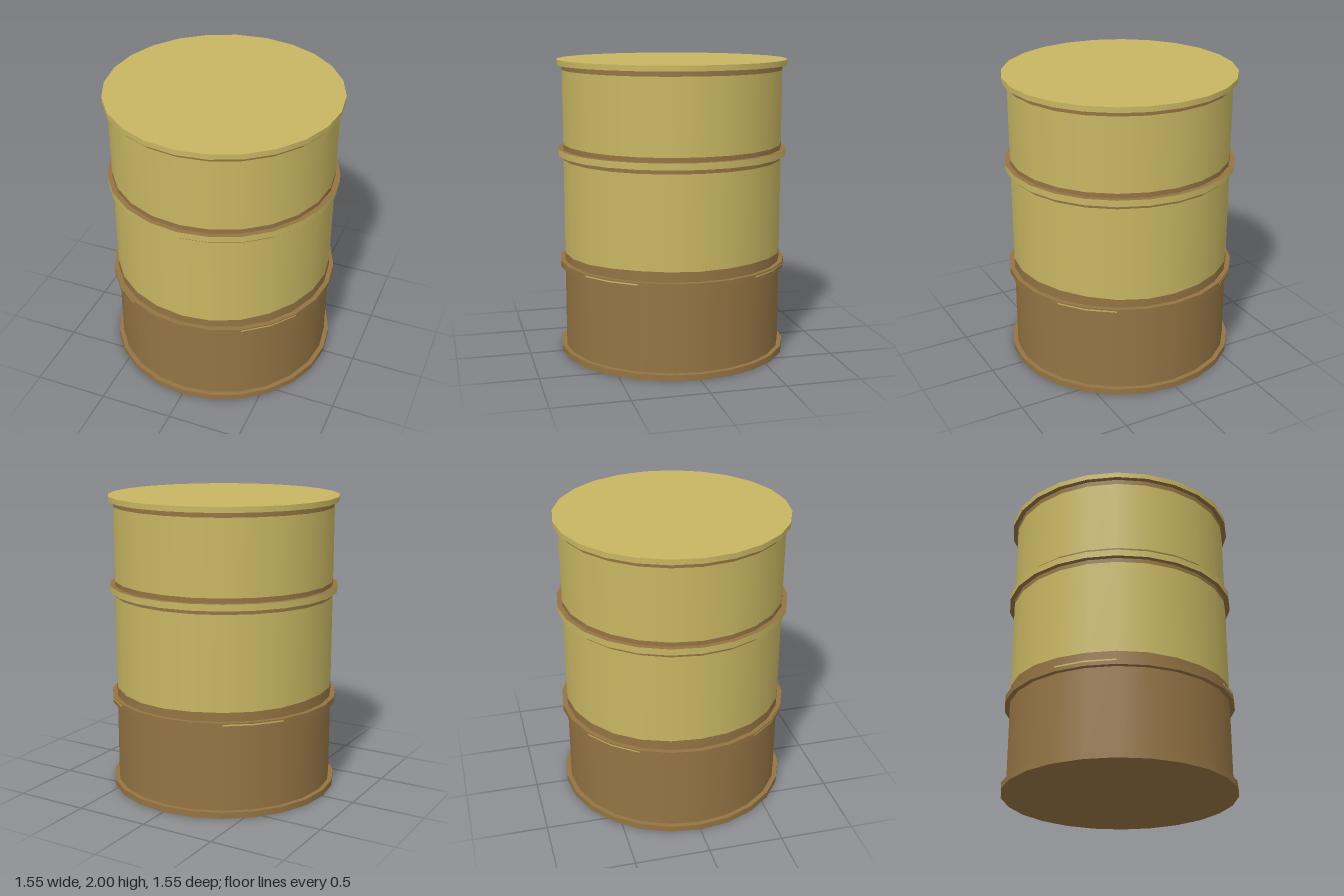
import * as THREE from 'three';

const SIDES = 24, BODY_R = 0.745, RIM_R = 0.777;

export function createModel() {
  const group = new THREE.Group();
  const yellow = new THREE.MeshStandardMaterial({ color: 0xc8b662 });
  yellow.name = 'mustard paint';
  const brown = new THREE.MeshStandardMaterial({ color: 0x947444 });
  brown.name = 'rust brown';

  function add(name, geometry, material) {
    const mesh = new THREE.Mesh(geometry, material);
    mesh.name = name;
    group.add(mesh);
  }

  // Height of a paint edge around the drum, slightly uneven
  const edge = (y, wave) => (a) => y + wave * (0.7 * Math.cos(2 * a) + 0.3 * Math.sin(5 * a));

  // Open wall band between two paint edges
  function band(name, low, high, material) {
    const geo = new THREE.CylinderGeometry(BODY_R, BODY_R, 1, SIDES, 1, true);
    const p = geo.attributes.position;
    for (let i = 0; i < p.count; i++) {
      const a = Math.atan2(p.getX(i), p.getZ(i));
      p.setY(i, p.getY(i) > 0 ? high(a) : low(a));
    }
    add(name, geo, material);
  }

  // Drum wall: worn brown base, painted panels, worn strips beside the hoops
  const e = [edge(0.02, 0), edge(0.705, -0.01), edge(1.333, 0.002), edge(1.38, 0),
    edge(1.436, 0.002), edge(1.931, 0.001), edge(1.98, 0)];
  const names = ['lowerWall', 'middlePanel', 'wornStripBelowHoop', 'wornStripAboveHoop', 'upperPanel', 'wornStripBelowLid'];
  const mats = [brown, yellow, brown, brown, yellow, brown];
  names.forEach((name, i) => band(name, e[i], e[i + 1], mats[i]));

  // Rims and hoops: [name, bottom, top, side, upper face, lower face]
  const rims = [
    ['bottomRim', 0, 0.042, brown, brown, brown],
    ['lowerHoop', 0.6, 0.643, brown, brown, brown],
    ['upperHoop', 1.362, 1.405, yellow, brown, brown],
    ['lid', 1.964, 2, yellow, yellow, brown],
  ];
  for (const [name, y0, y1, side, top, bottom] of rims) {
    const geo = new THREE.CylinderGeometry(RIM_R, RIM_R, y1 - y0, SIDES);
    geo.translate(0, (y0 + y1) / 2, 0);
    add(name, geo, [side, top, bottom]);
  }

  // Paint streaks left on the lower hoop
  for (let i = 0; i < 4; i++) {
    const start = Math.PI / 6 + i * Math.PI / 2;
    const geo = new THREE.CylinderGeometry(RIM_R + 0.001, RIM_R + 0.001, 0.01, 2, 1, true, start, Math.PI / 6);
    geo.translate(0, 0.63, 0);
    add('paintStreak', geo, yellow);
  }
  return group;
}
